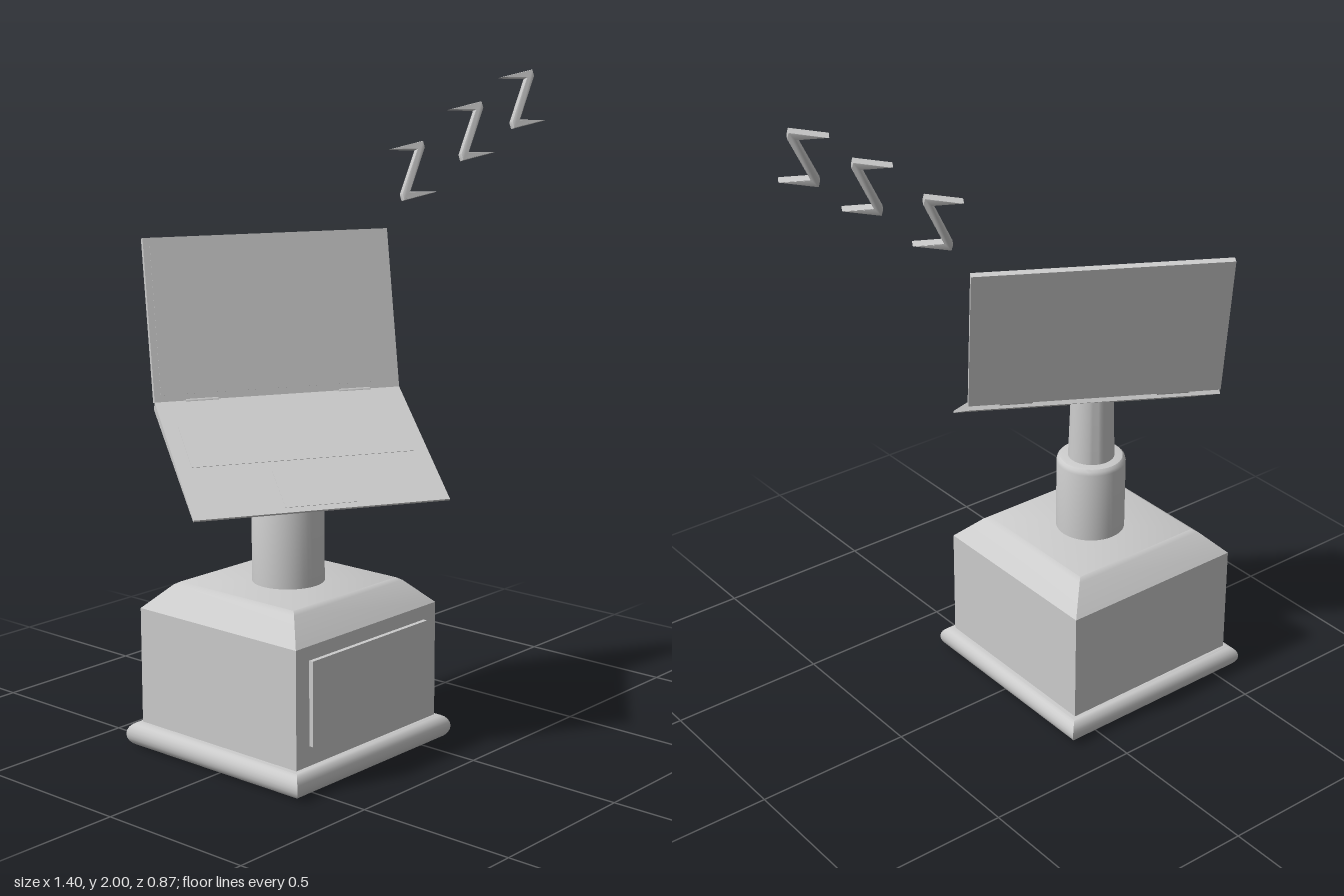
import * as THREE from 'three';
import { toCreasedNormals } from 'three/addons/utils/BufferGeometryUtils.js';

const YAW = -Math.PI / 6;
const rad = THREE.MathUtils.degToRad;
const material = new THREE.MeshStandardMaterial({ color: 0xcccccc });

function part(name, geometry, parent, x = 0, y = 0, z = 0) {
  const mesh = new THREE.Mesh(geometry, material);
  mesh.name = name;
  mesh.position.set(x, y, z);
  parent.add(mesh);
  return mesh;
}

// Revolved profile; with square = true the points are half-widths of a square block
function turned(points, square = false) {
  const k = square ? Math.SQRT2 : 1;
  const profile = points.map(([r, y]) => new THREE.Vector2(r * k, y));
  const geometry = new THREE.LatheGeometry(profile, square ? 4 : 48, square ? Math.PI / 4 : 0);
  return toCreasedNormals(geometry, rad(32));
}

function buildPedestal() {
  const pedestal = new THREE.Group();
  pedestal.name = 'pedestal';
  pedestal.position.set(-0.241, 0, -0.02);

  // Plinth with a rounded rim and mitred corners
  const rim = [[0, 0.004]];
  for (let i = 0; i <= 10; i++) {
    const a = -Math.PI / 2 + (i / 10) * Math.PI;
    rim.push([0.315 + 0.034 * Math.cos(a), 0.042 + 0.038 * Math.sin(a)]);
  }
  rim[0][1] = rim[1][1];
  rim.push([0, 0.08]);
  part('plinth', turned(rim, true), pedestal);

  // Block with sloping shoulders
  part('block', turned([[0, 0.07], [0.313, 0.07], [0.313, 0.437], [0.243, 0.508],
    [0.228, 0.517], [0, 0.517]], true), pedestal);
  part('plaque', new THREE.BoxGeometry(0.515, 0.255, 0.03), pedestal, 0, 0.267, 0.312);

  // Round post with softened rim
  part('post', turned([[0, 0.5], [0.109, 0.5], [0.109, 0.75], [0.106, 0.761],
    [0.099, 0.768], [0.09, 0.77], [0, 0.77]]), pedestal);

  // Neck cut at a slant so that it meets the underside of the deck
  const geometry = new THREE.CylinderGeometry(0.067, 0.074, 0.25, 48);
  const p = geometry.attributes.position;
  for (let i = 0; i < p.count; i++) {
    p.setY(i, p.getY(i) > 0 ? 0.96 - 0.6 * p.getZ(i) : 0.74);
  }
  part('neck', toCreasedNormals(geometry, rad(30)), pedestal).rotation.y = YAW;
  return pedestal;
}

function buildLaptop() {
  const W = 0.77, D = 0.495, H = 0.488;
  const laptop = new THREE.Group();
  laptop.name = 'laptop';
  laptop.position.set(-0.157, 1.055, -0.13);
  laptop.rotation.y = YAW;

  // Deck: a wedge thinning toward the front
  const deck = new THREE.Group();
  deck.name = 'deck';
  deck.rotation.x = rad(31);
  laptop.add(deck);
  const side = new THREE.Shape([[0, 0], [0, -0.026], [-D, -0.006], [-D, 0]]
    .map(([x, y]) => new THREE.Vector2(x, y)));
  const wedge = new THREE.ExtrudeGeometry(side, { depth: W, bevelEnabled: false });
  wedge.translate(0, 0, -W / 2).rotateY(Math.PI / 2);
  part('deckBody', wedge, deck);
  part('keyboard', new THREE.BoxGeometry(0.68, 0.003, 0.23), deck, 0, -0.0005, 0.17);
  part('trackpad', new THREE.BoxGeometry(0.22, 0.003, 0.15), deck, 0, -0.0005, 0.4);

  // Lid leaning back from the hinge
  const lid = new THREE.Group();
  lid.name = 'lid';
  lid.rotation.x = rad(-13.5);
  laptop.add(lid);
  part('lidBody', new THREE.BoxGeometry(W, H, 0.02), lid, 0, H / 2, -0.01);
  part('display', new THREE.BoxGeometry(W - 0.04, H - 0.04, 0.003), lid, 0, H / 2, -0.0005);

  // Hinge barrels
  for (const s of [-1, 1]) {
    const barrel = new THREE.CylinderGeometry(0.01, 0.01, 0.1, 16).rotateZ(Math.PI / 2);
    part('hinge', barrel, laptop, s * 0.24, -0.004, -0.006);
  }
  return laptop;
}

// Floating zigzag outline: top bar, diagonal, bottom bar
function zigzagGeometry() {
  const w = 0.056, h = 0.081, t = 0.021, d = 0.027;
  const half = [[-w, h], [w, h], [w, h - t], [-w + d, -h + t]];
  const outline = [...half, ...half.map(([x, y]) => [-x, -y])]
    .map(([x, y]) => new THREE.Vector2(x, y));
  const geometry = new THREE.ExtrudeGeometry(new THREE.Shape(outline), {
    depth: 0.022, bevelThickness: 0.003, bevelSize: 0.003, bevelOffset: -0.003, bevelSegments: 2,
  });
  return toCreasedNormals(geometry.translate(0, 0, -0.011), rad(40));
}

export function createModel() {
  const model = new THREE.Group();
  model.name = 'sleepingLaptopStatue';
  model.add(buildPedestal(), buildLaptop());

  const zigzag = zigzagGeometry();
  const spots = [[0.323, 1.7, -0.01], [0.49, 1.817, 0.087], [0.637, 1.912, 0.172]];
  for (const [x, y, z] of spots) {
    part('snoreMark', zigzag, model, x, y, z).rotation.set(rad(-12), YAW, rad(12), 'YXZ');
  }
  return model;
}
